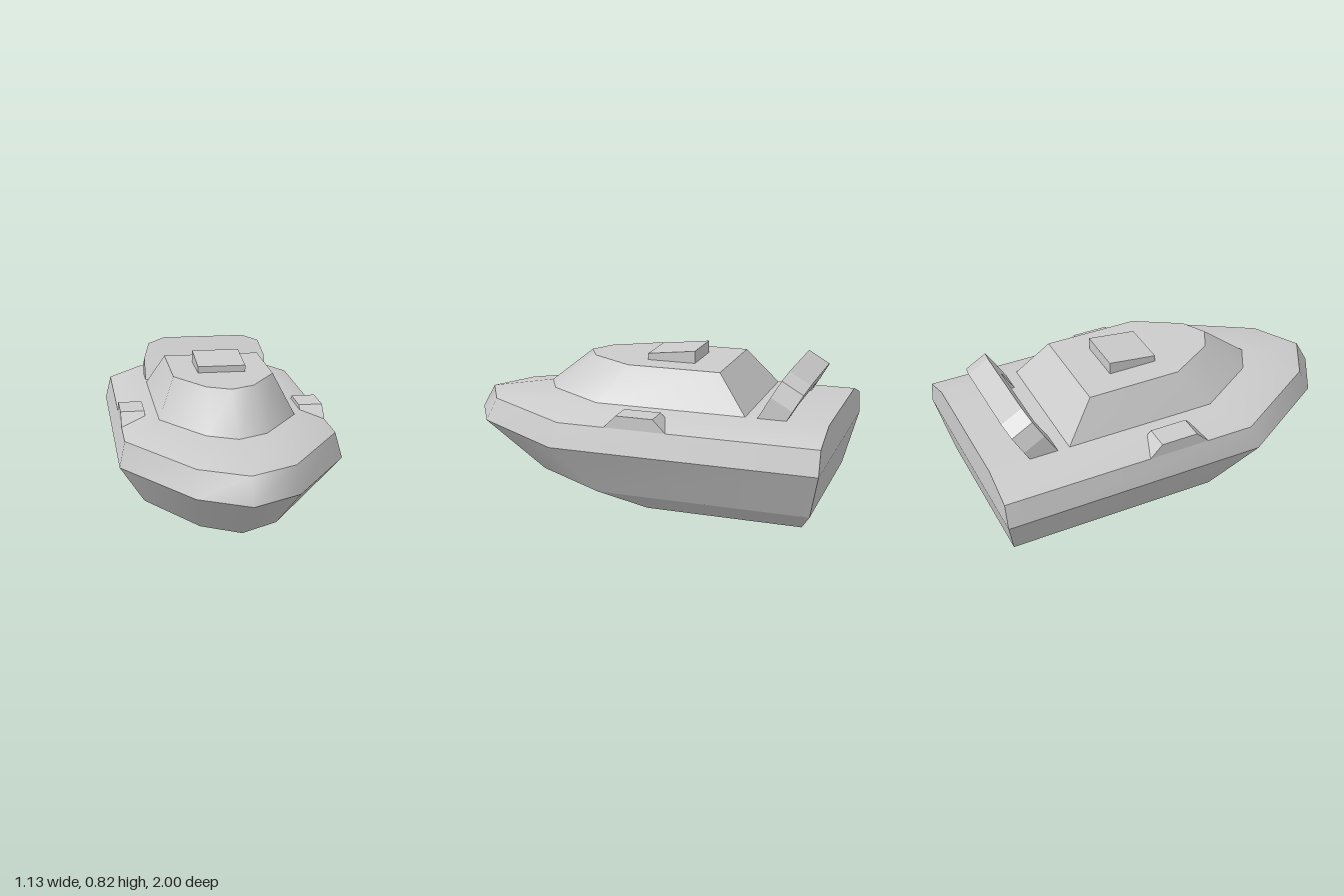
import * as THREE from 'three';

const grey = new THREE.MeshStandardMaterial({ color: 0xcccccc });

// Pointed deck outline: stern corner, shoulder, cheek, bow tip, mirrored to -x.
function ring(y, w, stern, shoulder, cheekX, cheekZ, tip) {
  const half = [[w, stern], [w, shoulder], [cheekX, cheekZ]];
  const mirrored = half.map(([x, z]) => [-x, z]).reverse();
  return [...half, [0, tip], ...mirrored].map(([x, z]) => [x, y, z]);
}

function surface(points, index) {
  const g = new THREE.BufferGeometry();
  g.setAttribute('position', new THREE.Float32BufferAttribute(points.flat(), 3));
  g.setIndex(index);
  g.computeVertexNormals();
  return g;
}

function fan(n, start, up) {
  const index = [];
  for (let i = 1; i < n - 1; i++) {
    index.push(start, start + (up ? i + 1 : i), start + (up ? i : i + 1));
  }
  return index;
}

// Band between two outlines: smooth around the bow, open at the stern.
function band(lower, upper, capped = false) {
  const n = lower.length;
  const index = [];
  for (let i = 0; i < n - 1; i++) {
    index.push(i, n + i, i + 1, i + 1, n + i, n + i + 1);
  }
  if (capped) index.push(...fan(n, n, true));
  return surface([...lower, ...upper], index);
}

// Flat closing panel between the stern corners of two outlines.
function sternPanel(lower, upper) {
  const e = lower.length - 1;
  return surface([lower[e], lower[0], upper[e], upper[0]], [0, 2, 1, 1, 2, 3]);
}

function add(parent, name, geometry) {
  const mesh = new THREE.Mesh(geometry, grey);
  mesh.name = name;
  parent.add(mesh);
  return mesh;
}

function part(parent, name) {
  const g = new THREE.Group();
  g.name = name;
  parent.add(g);
  return g;
}

function polygon(points) {
  return new THREE.Shape(points.map(([x, y]) => new THREE.Vector2(x, y)));
}

// Prism with a (z, y) side profile, spanning x0 to x1.
function sidePrism(profile, x0, x1) {
  const g = new THREE.ExtrudeGeometry(polygon(profile.map(([z, y]) => [-z, y])),
    { depth: x1 - x0, bevelEnabled: false });
  return g.rotateY(Math.PI / 2).translate(x0, 0, 0);
}

export function createModel() {
  const boat = new THREE.Group();
  boat.name = 'boat';

  // Hull: keel, chine, rub rail, gunwale and raised deck
  const hull = part(boat, 'hull');
  const rings = [
    ring(0, 0.26, -0.87, -0.06, 0.12, 0.12, 0.18),
    ring(0.125, 0.43, -0.94, 0.15, 0.19, 0.55, 0.67),
    ring(0.38, 0.565, -1, 0.355, 0.245, 0.86, 1),
    ring(0.505, 0.535, -1, 0.32, 0.235, 0.8, 0.93),
    ring(0.57, 0.35, -1, 0.185, 0.15, 0.495, 0.58),
  ];
  const names = ['bilge', 'hullSide', 'topside', 'deck'];
  names.forEach((name, i) => {
    add(hull, name, band(rings[i], rings[i + 1], name === 'deck'));
    add(hull, name + 'Stern', sternPanel(rings[i], rings[i + 1]));
  });
  add(hull, 'keelBottom', surface(rings[0], fan(7, 0, false)));

  // Cabin with sloping walls and flat roof
  const cabin = part(boat, 'cabin');
  const base = ring(0.57, 0.35, -0.59, 0.185, 0.15, 0.495, 0.575);
  const roof = ring(0.757, 0.26, -0.435, 0.045, 0.12, 0.275, 0.34);
  add(cabin, 'cabinWalls', band(base, roof));
  add(cabin, 'cabinBack', sternPanel(base, roof));
  add(cabin, 'cabinRoof', surface(roof, fan(7, 0, true)));

  // Wedge hatch on the roof
  add(boat, 'roofHatch',
    sidePrism([[-0.015, 0.75], [-0.015, 0.79], [-0.265, 0.82], [-0.265, 0.75]], -0.125, 0.125));

  // Side vents
  const vent = [[0.075, 0.505], [0.01, 0.57], [-0.18, 0.57], [-0.245, 0.505]];
  add(boat, 'leftVent', sidePrism(vent, 0.41, 0.535));
  add(boat, 'rightVent', sidePrism(vent, -0.535, -0.41));

  // Raked arch across the stern
  const halfArch = [[0.225, 0.133], [0.225, 0], [0.35, 0], [0.35, 0.127], [0.32, 0.217], [0.23, 0.25]];
  const outline = [...halfArch, ...halfArch.map(([x, y]) => [-x, y]).reverse()];
  const arch = add(boat, 'sternArch',
    new THREE.ExtrudeGeometry(polygon(outline), { depth: 0.125, bevelEnabled: false })
      .translate(0, 0, -0.125));
  arch.rotation.x = -Math.PI / 6;
  arch.position.set(0, 0.57, -0.65);

  return boat;
}
